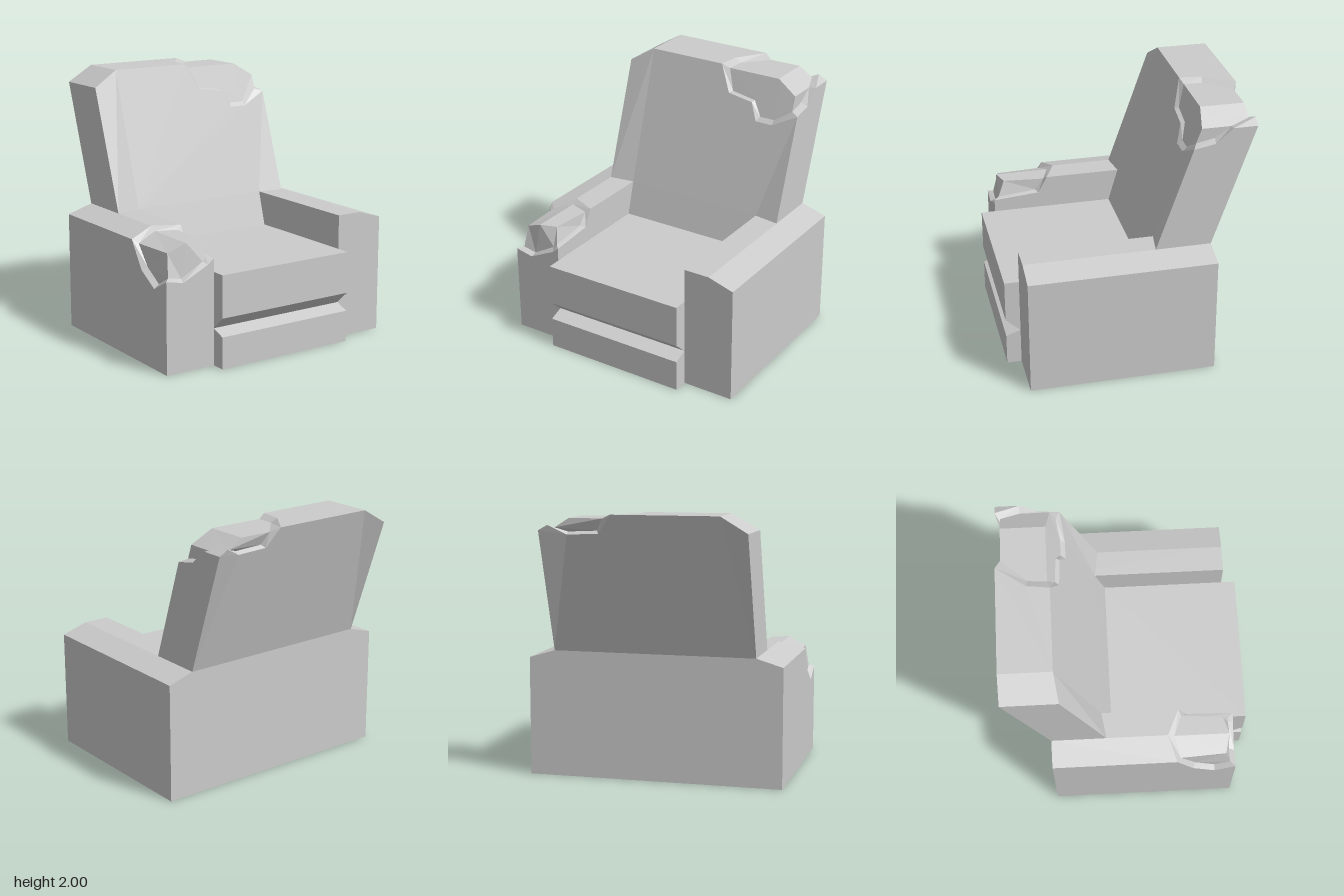
import * as THREE from 'three';

const V = (x, y, z) => new THREE.Vector3(x, y, z);
const material = new THREE.MeshStandardMaterial({ color: 0xcccccc, flatShading: true });

function add(group, name, geometry) {
  const mesh = new THREE.Mesh(geometry, material);
  mesh.name = name;
  group.add(mesh);
  return mesh;
}

// Geometry from polygons, each turned to face away from an interior point
function polygons(faces, inside) {
  const out = [];
  for (const pts of faces) {
    const n = V(0, 0, 0), mid = V(0, 0, 0);
    pts.forEach((p, i) => {
      n.add(p.clone().cross(pts[(i + 1) % pts.length]));
      mid.addScaledVector(p, 1 / pts.length);
    });
    n.normalize();
    if (n.dot(mid.sub(inside)) < 0) n.negate();
    const u = V(0.31, 0.77, 0.56).cross(n).normalize();
    const v = n.clone().cross(u);
    const flat = pts.map(p => new THREE.Vector2(p.dot(u), p.dot(v)));
    for (const t of THREE.ShapeUtils.triangulateShape(flat, [])) {
      const [a, b, c] = t.map(i => pts[i]);
      const up = b.clone().sub(a).cross(c.clone().sub(a)).dot(n) > 0;
      out.push(...(up ? [a, b, c] : [a, c, b]));
    }
  }
  const g = new THREE.BufferGeometry().setFromPoints(out);
  g.computeVertexNormals();
  return g;
}

// Band joining the torn cover edge to the padding; loops run clockwise from outside
function tearWall(outer, inner) {
  const out = [];
  outer.forEach((o0, i) => {
    const k = (i + 1) % outer.length, o1 = outer[k], i0 = inner[i], i1 = inner[k];
    out.push(o1, o0, i0, o1, i0, i1);
  });
  const g = new THREE.BufferGeometry().setFromPoints(out);
  g.computeVertexNormals();
  return g;
}

function extrude(points, depth) {
  const shape = new THREE.Shape(points.map(([x, y]) => new THREE.Vector2(x, y)));
  return new THREE.ExtrudeGeometry(shape, { depth, bevelEnabled: false });
}

function tornArm() {
  const group = new THREE.Group();
  group.name = 'rightArm';
  const o = [
    V(-0.97, 0.9, 0.35), V(-0.77, 0.96, 0.29), V(-0.57, 0.96, 0.38), V(-0.57, 0.83, 0.45),
    V(-0.57, 0.8, 0.81), V(-0.62, 0.76, 0.81), V(-0.83, 0.66, 0.81), V(-0.97, 0.69, 0.81),
    V(-0.97, 0.6, 0.65), V(-0.97, 0.7, 0.48)];
  const n = [
    V(-0.93, 0.87, 0.38), V(-0.77, 0.93, 0.34), V(-0.61, 0.93, 0.4), V(-0.61, 0.84, 0.47),
    V(-0.61, 0.81, 0.77), V(-0.64, 0.78, 0.77), V(-0.82, 0.68, 0.77), V(-0.93, 0.7, 0.77),
    V(-0.93, 0.63, 0.65), V(-0.93, 0.72, 0.5)];
  // Rear section, then the front foot
  const r = [V(-0.97, 0, -0.6), V(-0.97, 0.9, -0.6), V(-0.77, 0.96, -0.6), V(-0.57, 0.96, -0.6), V(-0.57, 0, -0.6)];
  const fo = V(-0.97, 0, 0.81), fi = V(-0.57, 0, 0.81);
  add(group, 'rightArmCover', polygons([
    r,
    [r[0], r[4], fi, fo],
    [r[1], r[2], o[1], o[0]],
    [r[2], r[3], o[2], o[1]],
    [r[3], r[4], fi, o[4], o[3], o[2]],
    [fo, fi, o[4], o[5], o[6], o[7]],
    [r[0], r[1], o[0], o[9], o[8], o[7], fo]
  ], V(-0.77, 0.5, 0.2)));
  add(group, 'rightArmTearEdge', tearWall(o, n));
  // Padding rounds over towards the front
  const a = V(-0.91, 0.87, 0.73), b = V(-0.77, 0.93, 0.76), c = V(-0.64, 0.93, 0.72);
  add(group, 'rightArmPadding', polygons([
    [n[0], n[1], b, a],
    [n[1], n[2], c, b],
    [n[2], n[3], n[4], c],
    [c, n[4], n[5]], [c, n[5], b], [b, n[5], n[6]], [b, n[6], a], [a, n[6], n[7]],
    [n[0], a, n[7], n[8], n[9]]
  ], V(-0.77, 0.72, 0.55)));
  return group;
}

function tornBack() {
  const group = new THREE.Group();
  group.name = 'backrest';
  const o = [
    V(0.06, 2, -0.53), V(0.08, 2, -0.7), V(0.23, 2, -0.92), V(0.33, 1.86, -0.877), V(0.57, 1.85, -0.874),
    V(0.7, 1.92, -0.92), V(0.77, 1.88, -0.74), V(0.77, 1.77, -0.61), V(0.77, 1.74, -0.45),
    V(0.57, 1.64, -0.42), V(0.43, 1.64, -0.42), V(0.37, 1.77, -0.46), V(0.16, 1.8, -0.47)];
  const n = [
    V(0.12, 1.97, -0.55), V(0.13, 1.97, -0.69), V(0.3, 1.97, -0.88), V(0.35, 1.88, -0.845), V(0.57, 1.87, -0.84),
    V(0.66, 1.9, -0.88), V(0.71, 1.87, -0.74), V(0.71, 1.79, -0.62), V(0.71, 1.76, -0.48),
    V(0.57, 1.67, -0.455), V(0.45, 1.67, -0.455), V(0.38, 1.78, -0.49), V(0.18, 1.81, -0.5)];
  // Corners of the leaning slab: outer and inner columns, front and rear
  const col = s => ({
    fo: V(0.77 * s, 0.96, -0.18), fi: V(0.57 * s, 0.96, -0.21),
    bo: V(0.77 * s, 0.96, -0.6), bi: V(0.57 * s, 0.96, -0.6),
    tfo: V(0.77 * s, 1.88, -0.5), tfi: V(0.57 * s, 2, -0.53),
    tbo: V(0.77 * s, 1.88, -0.92), tbi: V(0.57 * s, 2, -0.92)
  });
  const R = col(-1), L = col(1);
  add(group, 'backrestCover', polygons([
    [R.fo, R.tfo, R.tbo, R.bo],
    [R.fo, R.fi, R.tfi, R.tfo],
    [R.tfo, R.tfi, R.tbi, R.tbo],
    [R.bo, R.tbo, R.tbi, R.bi],
    [R.fi, L.fi, o[9], o[10], o[11], o[12], o[0], R.tfi],
    [L.fi, L.fo, o[8], o[9]],
    [L.fo, L.bo, L.tbo, o[6], o[7], o[8]],
    [o[6], L.tbo, o[5]],
    [L.bi, L.bo, L.tbo, o[5], o[4]],
    [R.bi, R.tbi, o[2], o[3], o[4], L.bi],
    [R.tfi, o[0], o[1], o[2], R.tbi]
  ], V(0, 1.5, -0.53)));
  add(group, 'backrestTearEdge', tearWall(o, n));
  const t1 = V(0.55, 1.97, -0.55), t2 = V(0.71, 1.87, -0.52), t3 = V(0.55, 1.97, -0.88);
  add(group, 'backrestPadding', polygons([
    [n[0], n[12], n[11], n[10], n[9], t1],
    [n[9], n[8], t2, t1],
    [n[8], n[7], n[6], t2],
    [t1, t2, n[6], n[5], t3],
    [n[0], t1, t3, n[2], n[1]],
    [n[5], n[4], n[3], n[2], t3]
  ], V(0.3, 1.5, -0.54)));
  return group;
}

export function createModel() {
  const model = new THREE.Group();
  model.name = 'armchair';

  // Seat block with the groove across its front, swept across the width
  const seat = add(model, 'seat', extrude([
    [0.92, 0], [0.92, 0.24], [0.81, 0.28], [0.92, 0.38], [0.92, 0.7],
    [-0.135, 0.7], [-0.21, 0.96], [-0.6, 0.96], [-0.6, 0]], 1.14));
  seat.rotation.y = -Math.PI / 2;
  seat.position.x = 0.57;

  // Intact arm
  const arm = add(model, 'leftArm', extrude([
    [0.57, 0], [0.97, 0], [0.97, 0.9], [0.77, 0.96], [0.57, 0.96]], 1.41));
  arm.position.z = -0.6;

  model.add(tornArm(), tornBack());
  return model;
}
